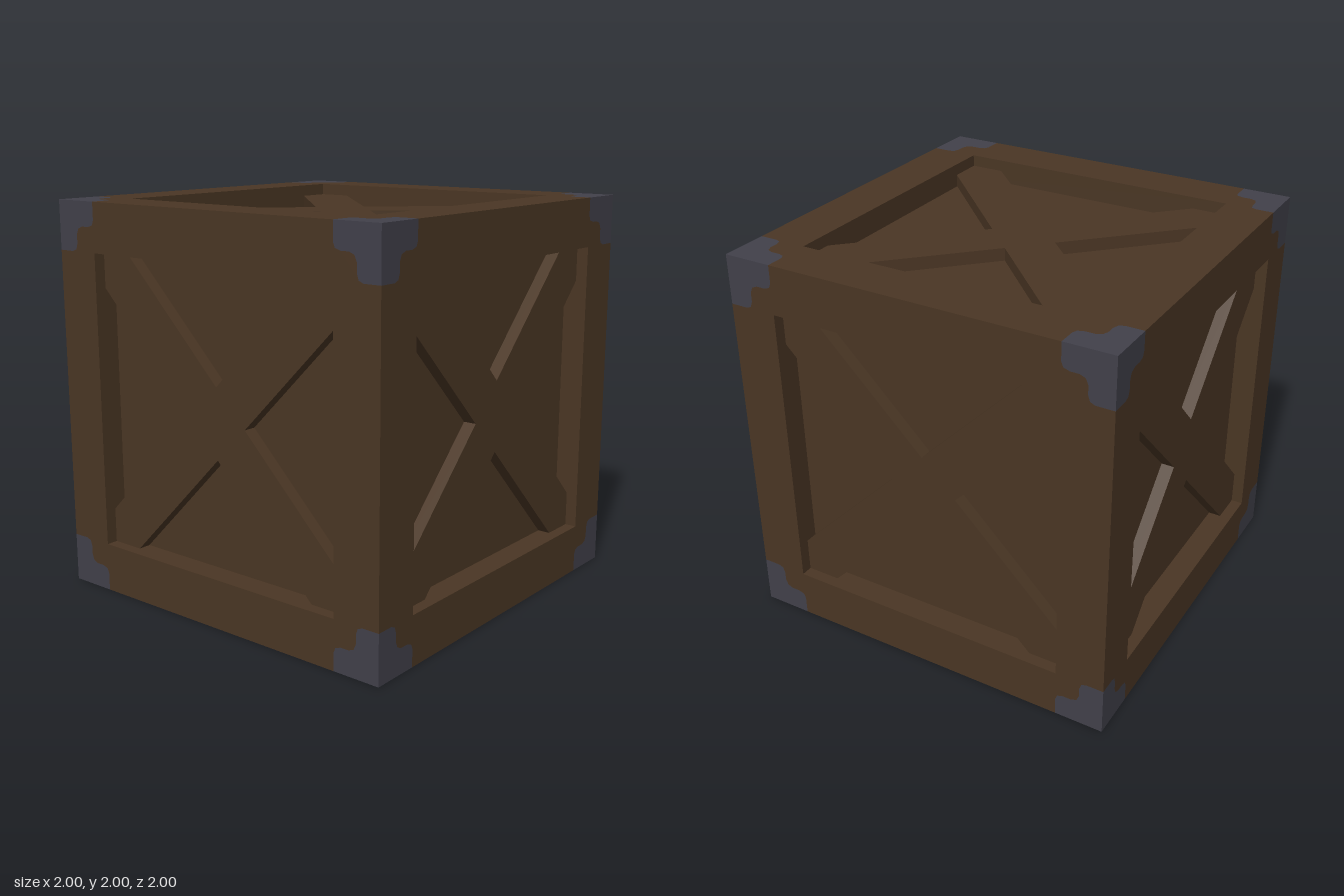
import * as THREE from 'three';

const HALF = 1;       // half the crate's side
const INNER = 0.75;   // half the frame opening
const PANEL = 0.875;  // distance from centre to the recessed panels
const BRACE = 0.94;   // distance from centre to the brace surface
const NOTCH = 0.177;  // brace crossing: half width measured along the axes

// Stepped, rounded inner edge of a corner guard, as insets from the corner
const STEP = [
  [0, 0.25], [0.09, 0.25], [0.115, 0.24], [0.125, 0.21], [0.125, 0.165], [0.137, 0.137],
  [0.165, 0.125], [0.21, 0.125], [0.24, 0.115], [0.25, 0.09], [0.25, 0],
];

const turned = (points, quarter) => points.map(([x, y]) =>
  new THREE.Vector2(x, y).rotateAround(new THREE.Vector2(), quarter * Math.PI / 2));
const allTurns = (points) => [0, 1, 2, 3].flatMap((q) => turned(points, q));

export function createModel() {
  const wood = new THREE.MeshStandardMaterial({ color: 0x4a3624 });
  wood.name = 'dark wood';
  const metal = new THREE.MeshStandardMaterial({ color: 0x41404a });
  metal.name = 'grey metal';

  const add = (parent, name, geometry, material) => {
    const mesh = new THREE.Mesh(geometry, material);
    mesh.name = name;
    parent.add(mesh);
    return mesh;
  };

  // Frame surface, with its corners left free for the guards
  const step = STEP.map(([u, v]) => [HALF - u, HALF - v]);
  const frameShape = new THREE.Shape(allTurns(step));
  frameShape.holes.push(new THREE.Path(allTurns([[INNER, INNER]]).reverse()));
  const frameGeo = new THREE.ShapeGeometry(frameShape).translate(0, 0, HALF);

  const guardGeo = new THREE.ShapeGeometry(
    new THREE.Shape(turned([...step, [HALF, HALF]], 0))).translate(0, 0, HALF);

  // Inner wall of the frame
  const wallGeo = new THREE.PlaneGeometry(2 * INNER, HALF - PANEL)
    .rotateX(Math.PI / 2).translate(0, INNER, (HALF + PANEL) / 2);

  // Crossed boards, trimmed to the frame opening
  const end = INNER - NOTCH;
  const braceShape = new THREE.Shape(allTurns([
    [NOTCH, 0], [INNER, end], [INNER, INNER], [end, INNER],
  ]));
  const braceGeo = new THREE.ExtrudeGeometry(braceShape, { depth: BRACE - PANEL, bevelEnabled: false })
    .translate(0, 0, PANEL);

  const crate = new THREE.Group();
  crate.name = 'crate';
  const body = new THREE.Group();
  body.name = 'body';
  body.position.y = HALF;
  crate.add(body);

  // Recessed panels on all six sides
  add(body, 'panels', new THREE.BoxGeometry(2 * PANEL, 2 * PANEL, 2 * PANEL), wood);

  const q = Math.PI / 2;
  const sides = {
    front: [0, 0], left: [0, q], back: [0, 2 * q], right: [0, -q], top: [-q, 0], bottom: [q, 0],
  };
  for (const [name, [rx, ry]] of Object.entries(sides)) {
    const side = new THREE.Group();
    side.name = name + 'Side';
    side.rotation.set(rx, ry, 0);
    body.add(side);
    add(side, 'frame', frameGeo, wood);
    add(side, 'crossBrace', braceGeo, wood);
    for (let i = 0; i < 4; i++) {
      add(side, 'frameWall', wallGeo, wood).rotation.z = i * q;
      add(side, 'cornerGuard', guardGeo, metal).rotation.z = i * q;
    }
  }
  return crate;
}
